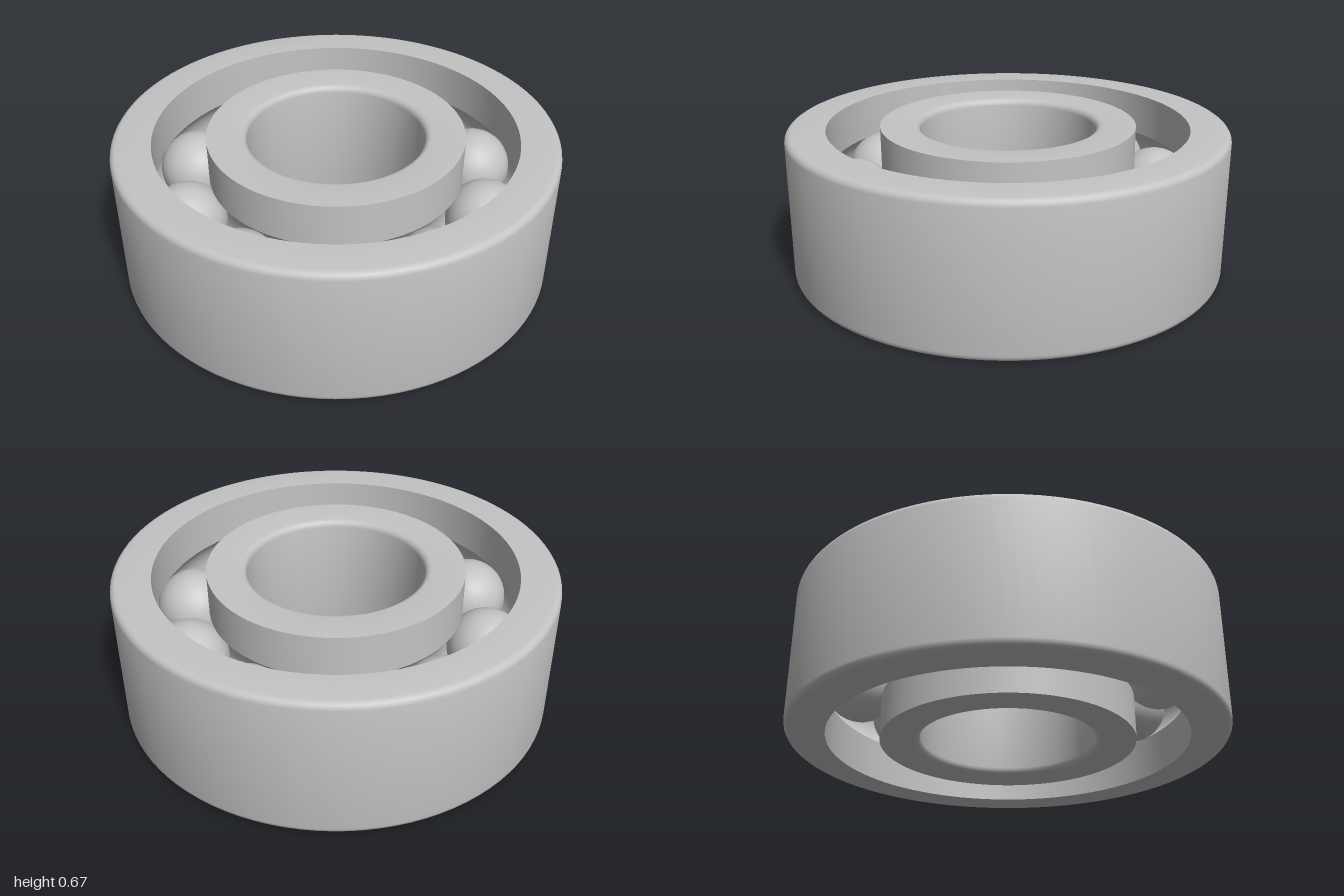
import * as THREE from 'three';
import { toCreasedNormals } from 'three/addons/utils/BufferGeometryUtils.js';

const HEIGHT = 0.667, MID = HEIGHT / 2;
const FILLET = 0.03;
const PITCH = 0.7, BALL_RADIUS = 0.177, GROOVE_RADIUS = 0.18;
const BALL_COUNT = 10;

// Points on an arc, from angle a to angle b
function arc(cx, cy, r, a, b, steps) {
  return Array.from({ length: steps + 1 }, (_, i) => {
    const t = a + ((b - a) * i) / steps;
    return new THREE.Vector2(cx + r * Math.cos(t), cy + r * Math.sin(t));
  });
}

// Revolve a closed, counter-clockwise cross-section
function ring(name, points, material) {
  const lathe = new THREE.LatheGeometry([...points, points[0].clone()], 96);
  const mesh = new THREE.Mesh(toCreasedNormals(lathe, 0.6), material);
  mesh.name = name;
  return mesh;
}

export function createModel() {
  const model = new THREE.Group();
  model.name = 'ballBearing';
  const steel = new THREE.MeshStandardMaterial({ color: 0xc4c4c4 });
  steel.name = 'steel';

  const P = (x, y) => new THREE.Vector2(x, y);
  const q = Math.PI / 2;
  const top = HEIGHT - FILLET;

  // Outer ring: rounded outer edges, ball groove on the inside
  const outerIn = 0.82;
  const g = Math.acos((outerIn - PITCH) / GROOVE_RADIUS);
  model.add(ring('outerRing', [
    P(outerIn, 0),
    ...arc(1 - FILLET, FILLET, FILLET, -q, 0, 4),
    ...arc(1 - FILLET, top, FILLET, 0, q, 4),
    P(outerIn, HEIGHT),
    ...arc(PITCH, MID, GROOVE_RADIUS, g, -g, 12),
  ], steel));

  // Inner ring: rounded bore edges, ball groove on the outside
  const bore = 0.4, innerOut = 0.58;
  model.add(ring('innerRing', [
    P(innerOut, 0),
    ...arc(PITCH, MID, GROOVE_RADIUS, Math.PI + g, Math.PI - g, 12),
    P(innerOut, HEIGHT),
    ...arc(bore + FILLET, top, FILLET, q, 2 * q, 4),
    ...arc(bore + FILLET, FILLET, FILLET, 2 * q, 3 * q, 4),
  ], steel));

  // Balls spaced evenly around the race
  const balls = new THREE.Group();
  balls.name = 'balls';
  const ballGeometry = new THREE.SphereGeometry(BALL_RADIUS, 40, 24);
  for (let i = 0; i < BALL_COUNT; i++) {
    const a = (i / BALL_COUNT) * Math.PI * 2 - 0.009;
    const ball = new THREE.Mesh(ballGeometry, steel);
    ball.name = `ball${i + 1}`;
    ball.position.set(PITCH * Math.sin(a), MID, PITCH * Math.cos(a));
    balls.add(ball);
  }
  model.add(balls);
  return model;
}
